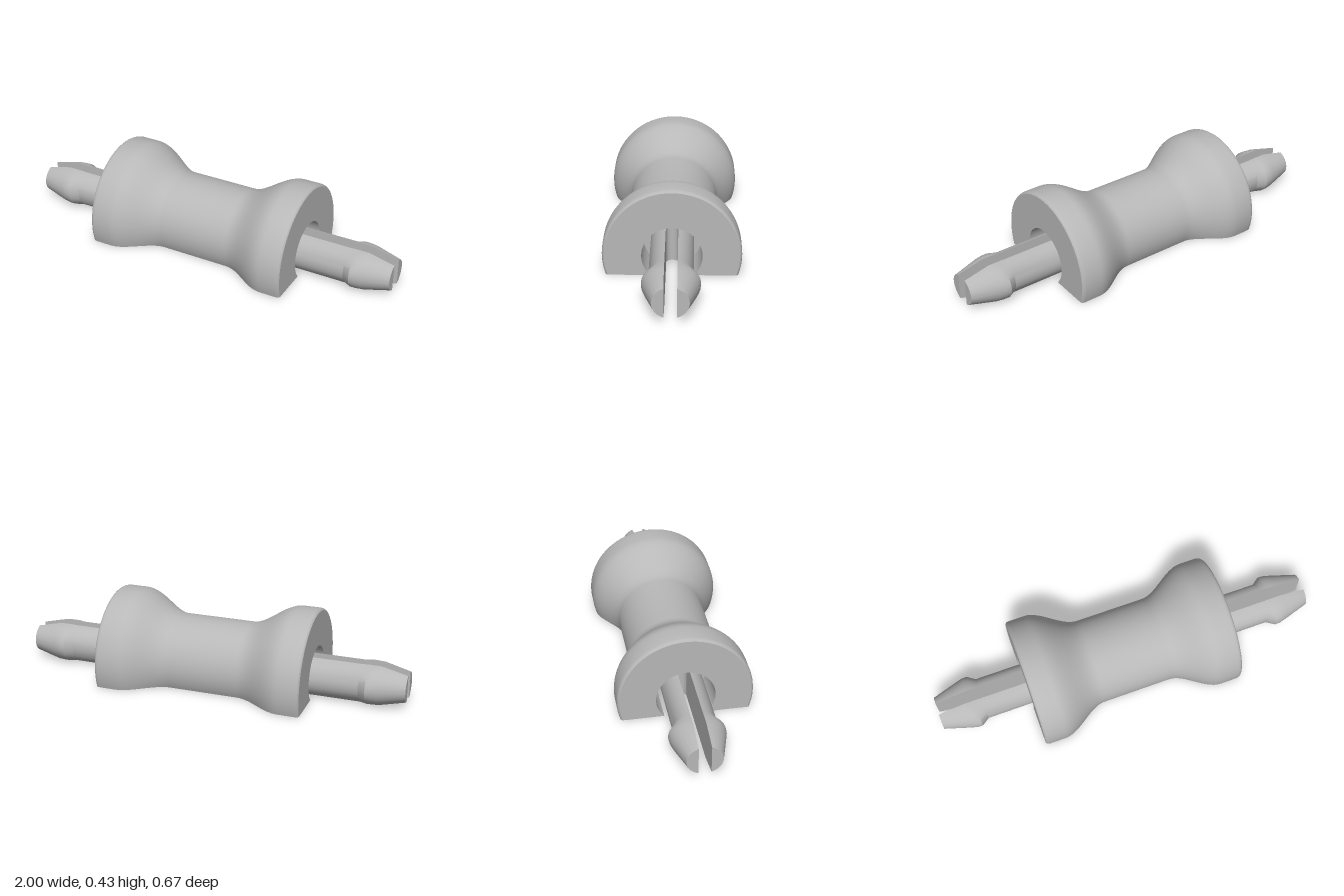
import * as THREE from 'three';
import { toCreasedNormals } from 'three/addons/utils/BufferGeometryUtils.js';

const AXIS = 0.1;      // height of the turning axis above the flat base
const END = 0.535;     // half length of the body
const FLOOR = 0.32;    // x of the recess floor
const HOLE = 0.145;    // recess radius
const SLOT = 0.03;     // half width of the slot between prongs

// Skin over rows of points; rows run along +x, columns counter-clockwise
function skin(rows, crease = 0.58) {
  const pos = [];
  for (let i = 0; i + 1 < rows.length; i++) {
    for (let j = 0; j + 1 < rows[i].length; j++) {
      const a = rows[i][j], b = rows[i + 1][j], c = rows[i + 1][j + 1], d = rows[i][j + 1];
      pos.push(...a, ...b, ...c, ...a, ...c, ...d);
    }
  }
  const geo = new THREE.BufferGeometry();
  geo.setAttribute('position', new THREE.Float32BufferAttribute(pos, 3));
  geo.computeVertexNormals();
  return toCreasedNormals(geo, crease);
}

// Points [z, y] of a circle about the axis, cut off by the base plane y = 0
function cutArc(r, n = 72) {
  const t0 = -Math.asin(AXIS / r);
  return Array.from({ length: n + 1 }, (_, i) => {
    const t = t0 + (Math.PI - 2 * t0) * i / n;
    return [r * Math.cos(t), Math.max(0, AXIS + r * Math.sin(t))];
  });
}
const ring = (x, r) => cutArc(r).map(([z, y]) => [x, y, z]);
const flat = pts => new THREE.ShapeGeometry(new THREE.Shape(pts.map(p => new THREE.Vector2(...p))));

// Half profile [x, radius]: waist, smooth flare, rim and rounded edge
function halfProfile() {
  const pts = [[0, 0.222]];
  for (let i = 0; i <= 16; i++) {
    const t = i / 16;
    pts.push([0.18 + 0.25 * t, 0.222 + 0.111 * t * t * (3 - 2 * t)]);
  }
  pts.push([0.515, 0.333], [0.526, 0.331], [0.532, 0.327], [END, 0.322]);
  return pts;
}

// One prong half on +z: lofted sections [x, half width, half height]
function prongGeometry() {
  const sections = [
    [FLOOR, 0.105, 0.105], [0.77, 0.105, 0.105], [0.81, 0.135, 0.105],
    [0.835, 0.134, 0.105], [0.87, 0.124, 0.105], [1, 0.085, 0.075],
  ];
  const n = 24;
  const rows = sections.map(([x, a, b]) => {
    const top = Math.acos(SLOT / a);
    const low = -Math.min(top, Math.asin(Math.min(1, AXIS / b)));
    const row = [];
    for (let i = 0; i <= n; i++) {
      const t = low + (top - low) * i / n;
      row.push([x, AXIS + b * Math.sin(t), a * Math.cos(t)]);
    }
    const corner = [x, row[0][1], SLOT];
    return [corner, ...row, corner];
  });
  // close the tip
  rows.push(rows[rows.length - 1].map(() => [1, AXIS, 0.055]));
  return skin(rows);
}

export function createModel() {
  const grey = new THREE.MeshStandardMaterial({ color: 0xb8b8b8 });
  grey.name = 'grey';
  const model = new THREE.Group();
  model.name = 'halfSpool';
  const add = (parent, name, geo) => {
    const mesh = new THREE.Mesh(geo, grey);
    mesh.name = name;
    parent.add(mesh);
    return mesh;
  };

  // Turned body
  const half = halfProfile();
  const profile = [...half.slice(1).reverse().map(([x, r]) => [-x, r]), ...half];
  add(model, 'bodySurface', skin(profile.map(([x, r]) => ring(x, r))));

  // Flat base, notched where the recesses break through
  const edge = profile.map(([x, r]) => [x, Math.sqrt(r * r - AXIS * AXIS)]);
  const notch = Math.sqrt(HOLE * HOLE - AXIS * AXIS);
  const base = flat([
    ...edge.map(([x, z]) => [x, -z]),
    [END, -notch], [FLOOR, -notch], [FLOOR, notch], [END, notch],
    ...edge.slice().reverse(),
    [-END, notch], [-FLOOR, notch], [-FLOOR, -notch], [-END, -notch],
  ]);
  add(model, 'base', base.rotateX(Math.PI / 2));

  // Both ends: face, recess and split snap pin
  const prong = prongGeometry();
  for (const side of ['left', 'right']) {
    const end = new THREE.Group();
    end.name = side + 'End';
    if (side === 'right') end.rotation.y = Math.PI;
    model.add(end);

    const face = flat([...cutArc(0.322), ...cutArc(HOLE).reverse()]);
    add(end, 'endFace', face.rotateY(Math.PI / 2).translate(END, 0, 0));
    add(end, 'recessWall', skin([ring(END, HOLE), ring(FLOOR, HOLE)]));
    add(end, 'recessFloor', flat(cutArc(HOLE)).rotateY(Math.PI / 2).translate(FLOOR, 0, 0));

    add(end, 'frontProng', prong);
    add(end, 'backProng', prong).scale.z = -1;

    // Web joining the prongs, with a rounded slot bottom
    const web = new THREE.Shape();
    web.moveTo(FLOOR, -SLOT);
    web.lineTo(0.4, -SLOT);
    web.absarc(0.4, 0, SLOT, -Math.PI / 2, Math.PI / 2, true);
    web.lineTo(FLOOR, SLOT);
    const webGeo = new THREE.ExtrudeGeometry(web, { depth: 0.203, bevelEnabled: false, curveSegments: 12 });
    add(end, 'prongWeb', toCreasedNormals(webGeo.rotateX(Math.PI / 2).translate(0, 0.203, 0), 0.6));
  }
  return model;
}
